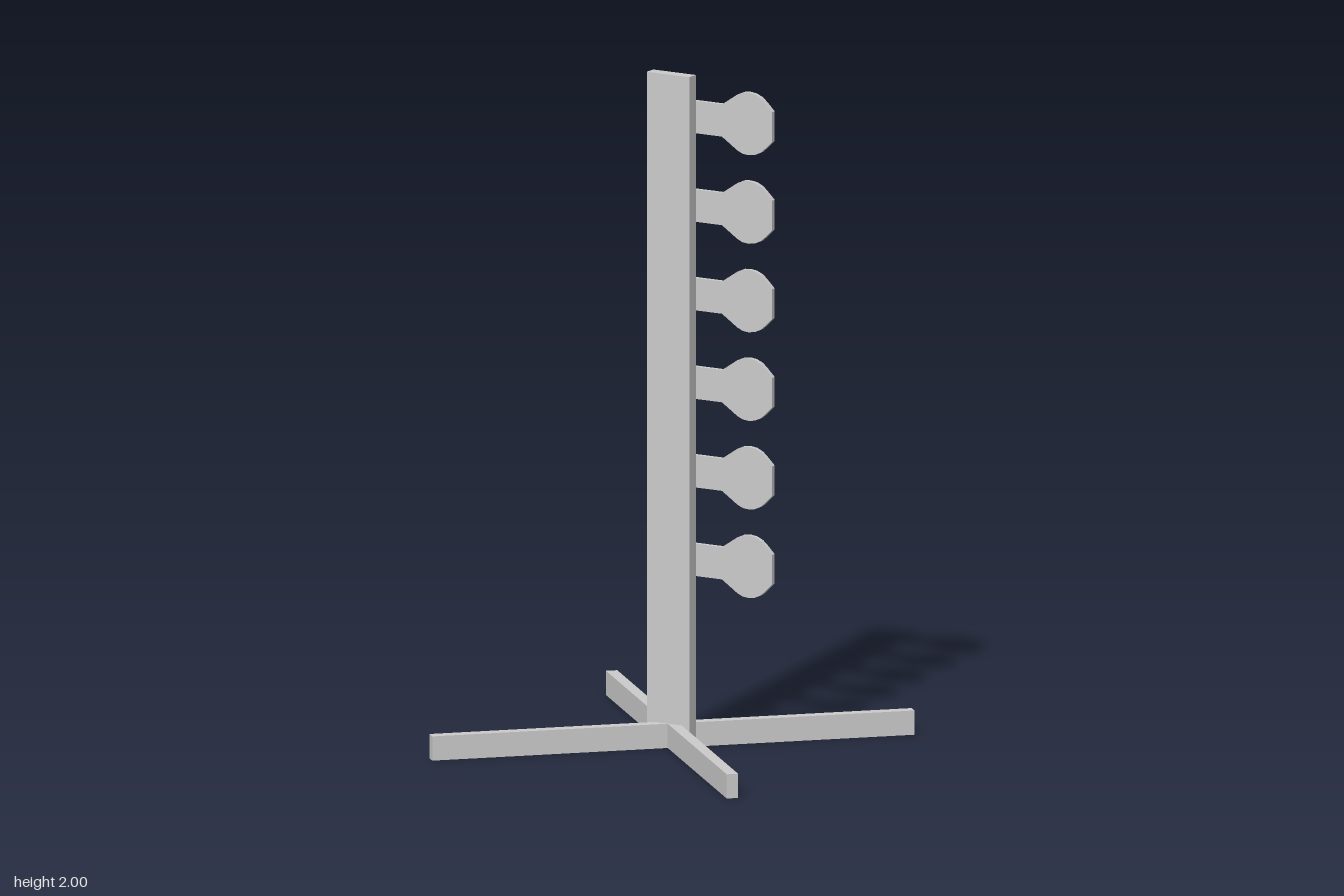
import * as THREE from 'three';

const material = new THREE.MeshStandardMaterial({ color: 0xcccccc, flatShading: true });

function addMesh(parent, name, geometry, x, y, z) {
  const mesh = new THREE.Mesh(geometry, material);
  mesh.name = name;
  mesh.position.set(x, y, z);
  parent.add(mesh);
  return mesh;
}

// Flat paddle: rounded stem end, flared neck and faceted round head
function paddleGeometry(thickness) {
  const upper = [
    [-0.018, 0.022], [-0.012, 0.038], [0.002, 0.048], [0.145, 0.048],
    [0.197, 0.083], [0.215, 0.091], [0.235, 0.093], [0.256, 0.09],
    [0.276, 0.081], [0.292, 0.067], [0.315, 0.044],
  ];
  const lower = upper.map(([x, y]) => [x, -y]).reverse();
  const outline = [...upper, ...lower].map(([x, y]) => new THREE.Vector2(x, y));
  return new THREE.ExtrudeGeometry(new THREE.Shape(outline), { depth: thickness, bevelEnabled: false });
}

export function createModel() {
  const model = new THREE.Group();
  model.name = 'paddleTargetStand';

  // Crossed base bars
  const bar = new THREE.BoxGeometry(1.442, 0.072, 0.034);
  [1, -1].forEach((side) => {
    const leg = addMesh(model, side > 0 ? 'baseBarA' : 'baseBarB', bar, 0, 0.036, 0);
    leg.rotation.y = side * Math.PI / 4;
  });

  // Upright plank, slotted into the base
  addMesh(model, 'post', new THREE.BoxGeometry(0.144, 1.967, 0.036), 0, 1.0165, 0.004);

  // Column of paddles standing just behind the post
  const paddle = paddleGeometry(0.014);
  for (let i = 0; i < 6; i++) {
    addMesh(model, `paddle${i + 1}`, paddle, 0, 0.553 + i * 0.263, -0.054);
  }

  return model;
}
